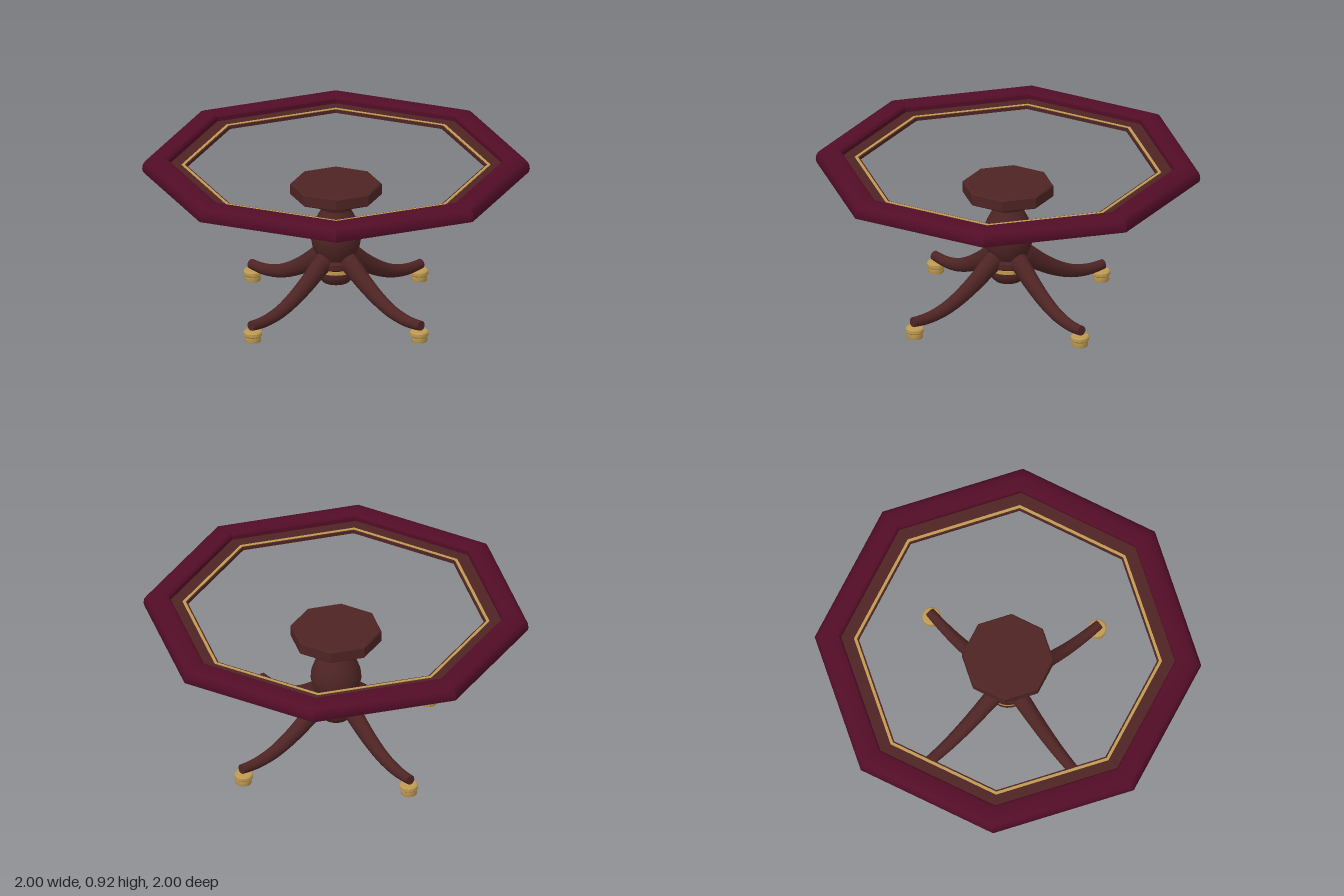
import * as THREE from 'three';
import { toCreasedNormals } from 'three/addons/utils/BufferGeometryUtils.js';

const paint = (name, color, side = THREE.FrontSide) => {
  const m = new THREE.MeshStandardMaterial({ color, side });
  m.name = name;
  return m;
};

// Turned shape from [radius, y] pairs, listed bottom to top
function turned(name, profile, material, segments = 32) {
  const pts = profile.map(([r, y]) => new THREE.Vector2(r, y));
  const geo = toCreasedNormals(new THREE.LatheGeometry(pts, segments), 0.6);
  const mesh = new THREE.Mesh(geo, material);
  mesh.name = name;
  return mesh;
}

// Eight-sided shape from [apothem, y] pairs, flat sides facing the axes
function octagonal(name, profile, material) {
  const k = 1 / Math.cos(Math.PI / 8);
  const pts = profile.map(([a, y]) => new THREE.Vector2(a * k, y));
  const geo = toCreasedNormals(new THREE.LatheGeometry(pts, 8, Math.PI / 8), 0.6);
  const mesh = new THREE.Mesh(geo, material);
  mesh.name = name;
  return mesh;
}

// Tapered sweep running out along +x, closed at both ends
function legGeometry() {
  const curve = new THREE.CatmullRomCurve3([
    [0.06, 0.335], [0.13, 0.295], [0.22, 0.23], [0.33, 0.163],
    [0.44, 0.115], [0.55, 0.092], [0.62, 0.09], [0.672, 0.094],
  ].map(([x, y]) => new THREE.Vector3(x, y, 0)));
  const rings = 24, sides = 14, pos = [], index = [];
  for (let i = 0; i <= rings; i++) {
    const t = i / rings, p = curve.getPointAt(t), d = curve.getTangentAt(t);
    const high = THREE.MathUtils.lerp(0.068, 0.028, Math.pow(t, 0.75));
    const wide = THREE.MathUtils.lerp(0.05, 0.027, t);
    for (let j = 0; j < sides; j++) {
      const a = (j / sides) * Math.PI * 2, h = Math.cos(a) * high;
      pos.push(p.x - d.y * h, p.y + d.x * h, Math.sin(a) * wide);
    }
  }
  for (let i = 0; i < rings; i++) {
    for (let j = 0; j < sides; j++) {
      const a = i * sides + j, b = i * sides + (j + 1) % sides;
      index.push(a, b, a + sides, b, b + sides, a + sides);
    }
  }
  const last = rings * sides;
  for (let j = 1; j < sides - 1; j++) {
    index.push(0, j + 1, j, last, last + j, last + j + 1);
  }
  const geo = new THREE.BufferGeometry();
  geo.setAttribute('position', new THREE.Float32BufferAttribute(pos, 3));
  geo.setIndex(index);
  return toCreasedNormals(geo, 0.8);
}

export function createModel() {
  const leather = paint('burgundy leather', 0x520d26, THREE.DoubleSide);
  const wood = paint('dark wood', 0x4e2424);
  const brass = paint('brass', 0xbe9a52);
  const table = new THREE.Group();
  table.name = 'octagonalTable';

  // Padded rail, open underneath
  table.add(octagonal('paddedRail', [
    [0.995, 0.83], [1, 0.85], [0.996, 0.878], [0.983, 0.898], [0.962, 0.91],
    [0.935, 0.915], [0.89, 0.915], [0.874, 0.91], [0.865, 0.898], [0.865, 0.865],
  ], leather));

  // Wooden border inside the rail, with a brass inlay
  table.add(octagonal('innerBorder', [
    [0.772, 0.855], [0.87, 0.855], [0.87, 0.873], [0.772, 0.873], [0.772, 0.855],
  ], wood));
  table.add(octagonal('brassInlay', [
    [0.797, 0.873], [0.797, 0.876], [0.781, 0.876], [0.781, 0.873],
  ], brass));

  // Pedestal
  table.add(octagonal('mountingPlate', [
    [0, 0.692], [0.23, 0.692], [0.237, 0.699], [0.237, 0.758], [0.23, 0.765], [0, 0.765],
  ], wood));
  table.add(turned('column', [
    [0.1, 0.27], [0.112, 0.28], [0.112, 0.31], [0.1, 0.325], [0.112, 0.345],
    [0.132, 0.39], [0.142, 0.44], [0.138, 0.485], [0.118, 0.54], [0.092, 0.59],
    [0.08, 0.615], [0.09, 0.62], [0.094, 0.632], [0.09, 0.644], [0.08, 0.65],
    [0.082, 0.662], [0.112, 0.67], [0.12, 0.692],
  ], wood));
  table.add(turned('columnBand', [
    [0.09, 0.248], [0.108, 0.248], [0.108, 0.27], [0.09, 0.27],
  ], brass));
  table.add(turned('columnFinial', [
    [0, 0.163], [0.04, 0.166], [0.075, 0.18], [0.1, 0.205], [0.11, 0.23], [0.108, 0.25], [0, 0.25],
  ], wood));

  // Four legs with brass feet
  const legShape = legGeometry();
  for (let i = 0; i < 4; i++) {
    const leg = new THREE.Group();
    leg.name = 'leg' + (i + 1);
    const arm = new THREE.Mesh(legShape, wood);
    arm.name = 'curvedLeg';
    const foot = turned('brassFoot', [
      [0, 0], [0.044, 0], [0.046, 0.005], [0.044, 0.03], [0.052, 0.038],
      [0.052, 0.055], [0.046, 0.062], [0, 0.066],
    ], brass, 20);
    foot.position.x = 0.657;
    leg.add(arm, foot);
    leg.rotation.y = Math.PI / 8 + i * Math.PI / 2;
    table.add(leg);
  }
  return table;
}
